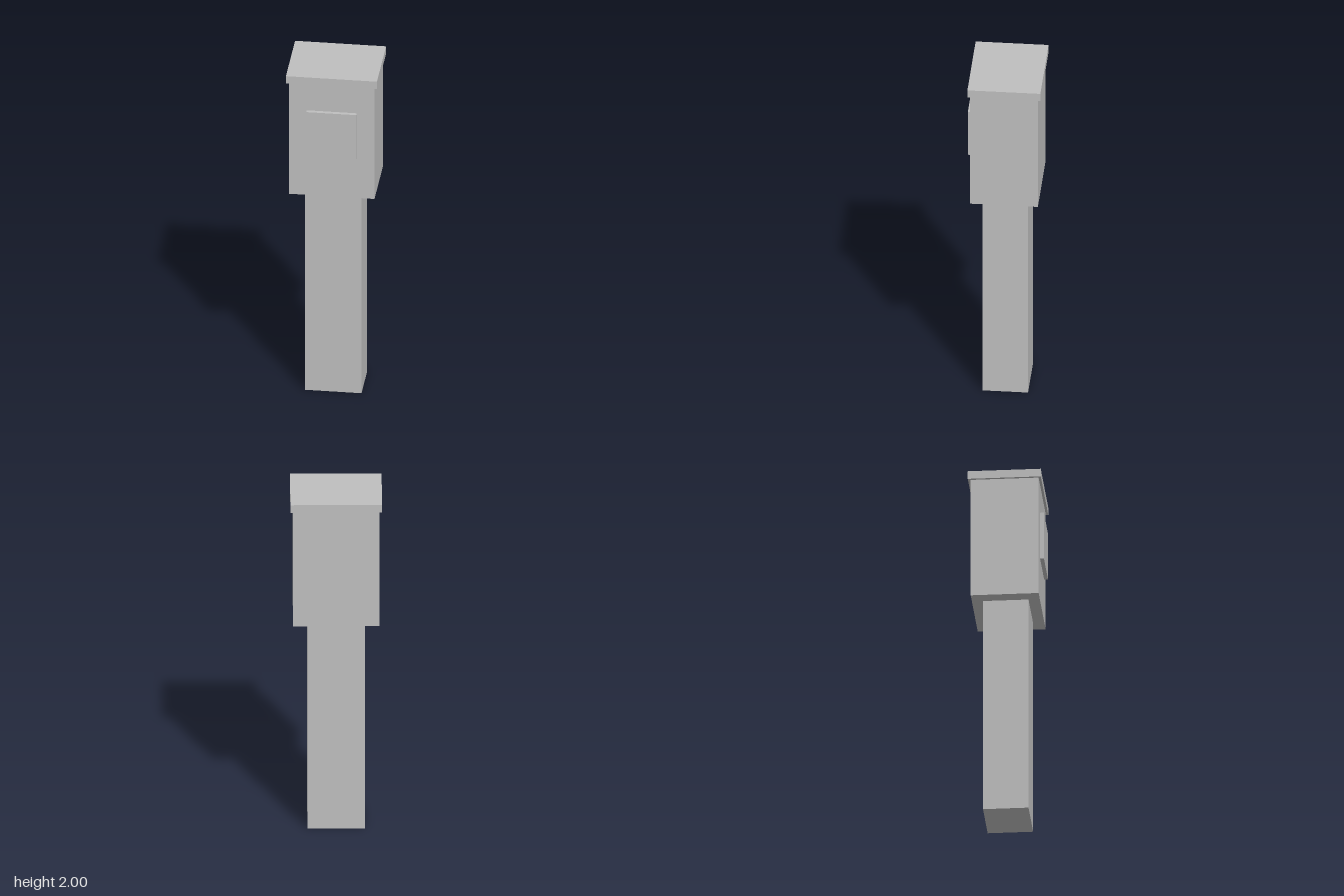
import * as THREE from 'three';

export function createModel() {
  const model = new THREE.Group();
  model.name = 'pedestalBox';
  const grey = new THREE.MeshStandardMaterial({ color: 0xbfbfbf });
  grey.name = 'light grey';

  // Box from its width, its bottom and top, and its back and front
  function addBox(name, width, y0, y1, z0, z1) {
    const mesh = new THREE.Mesh(new THREE.BoxGeometry(width, y1 - y0, z1 - z0), grey);
    mesh.name = name;
    mesh.position.set(0, (y0 + y1) / 2, (z0 + z1) / 2);
    model.add(mesh);
  }

  addBox('post', 0.313, 0, 1.257, -0.129, 0.121);
  addBox('housing', 0.472, 1.257, 1.954, -0.19, 0.183);
  addBox('capPlate', 0.502, 1.954, 2, -0.205, 0.196);
  // Raised square panel on the front of the housing
  addBox('frontPanel', 0.276, 1.511, 1.787, 0.183, 0.204);

  return model;
}
